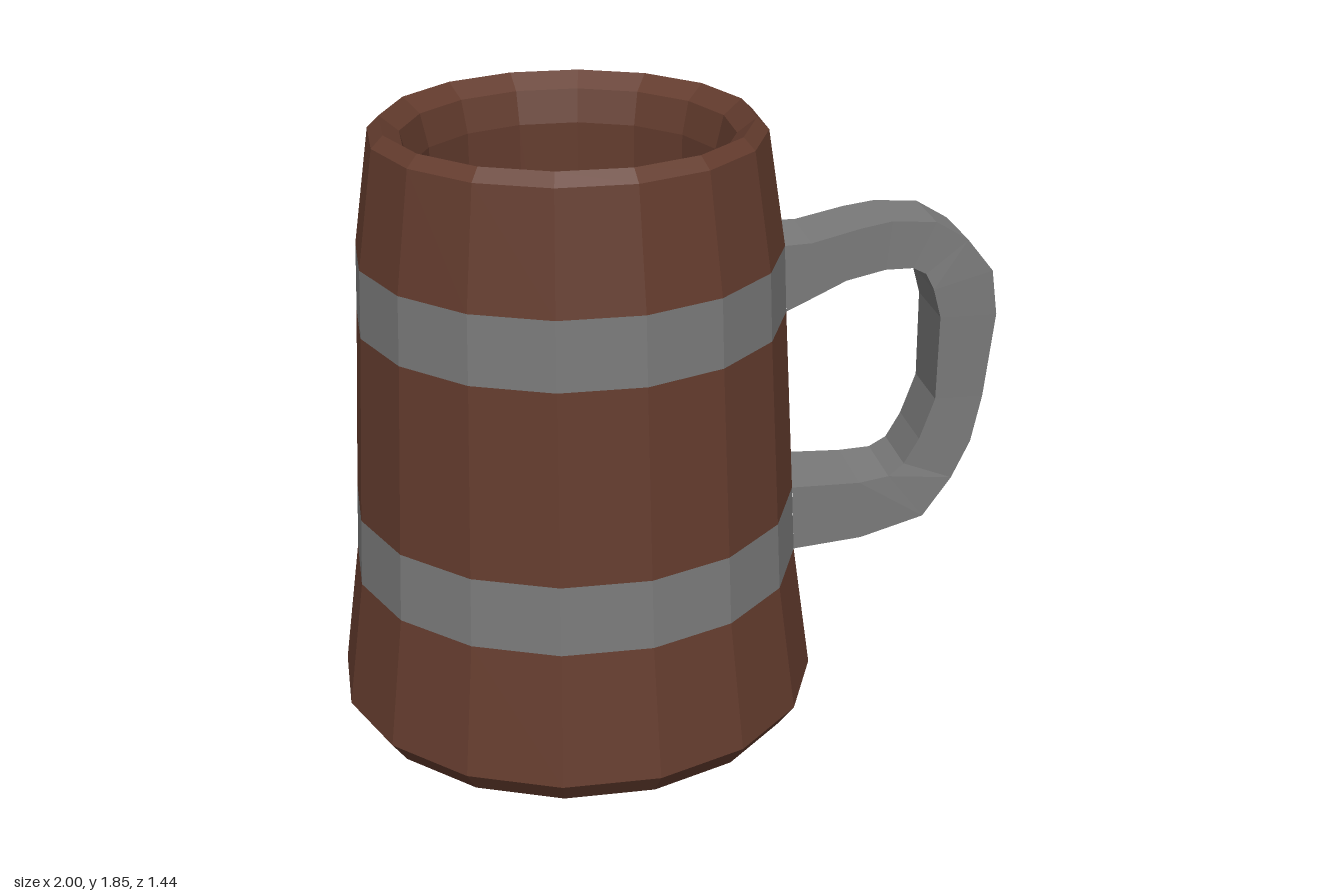
import * as THREE from 'three';

const SIDES = 16;
const CENTRE_X = -0.28;
const wood = new THREE.MeshStandardMaterial({ color: 0x643c2e, flatShading: true });
const metal = new THREE.MeshStandardMaterial({ color: 0x7a7a7a, flatShading: true });

// Sixteen-sided ring; radii are measured to the flats, which face the axes.
function ring(name, profile, material) {
  const k = 1 / Math.cos(Math.PI / SIDES);
  const points = profile.map(([r, y]) => new THREE.Vector2(r * k, y));
  const mesh = new THREE.Mesh(new THREE.LatheGeometry(points, SIDES, Math.PI / SIDES), material);
  mesh.name = name;
  mesh.position.x = CENTRE_X;
  return mesh;
}

// Rectangular sections [outer x, y, inner x, y, half width] joined into a bar.
function bar(sections) {
  const positions = [];
  const index = [];
  for (const [ox, oy, ix, iy, w] of sections) {
    positions.push(ox, oy, w, ox, oy, -w, ix, iy, -w, ix, iy, w);
  }
  for (let s = 0; s < sections.length - 1; s++) {
    for (let j = 0; j < 4; j++) {
      const a = s * 4 + j;
      const b = s * 4 + (j + 1) % 4;
      index.push(a, a + 4, b, b, a + 4, b + 4);
    }
  }
  const geometry = new THREE.BufferGeometry();
  geometry.setAttribute('position', new THREE.Float32BufferAttribute(positions, 3));
  geometry.setIndex(index);
  geometry.computeVertexNormals();
  return geometry;
}

export function createModel() {
  const group = new THREE.Group();
  group.name = 'tankard';

  // Wooden staves, with a chamfered foot and closed base
  group.add(ring('lowerStaves', [[0, 0], [0.67, 0], [0.72, 0.07], [0.665, 0.47]], wood));
  group.add(ring('middleStaves', [[0.655, 0.68], [0.625, 1.255]], wood));

  // Upper staves, rim, inner wall and floor in one profile
  group.add(ring('upperStavesAndInside', [
    [0.617, 1.46], [0.565, 1.81], [0.53, 1.845], [0.475, 1.8],
    [0.45, 1.7], [0.435, 0.2], [0, 0.2],
  ], wood));

  // Metal hoops, flush with the staves
  group.add(ring('lowerHoop', [[0.665, 0.47], [0.655, 0.68]], metal));
  group.add(ring('upperHoop', [[0.625, 1.255], [0.617, 1.46]], metal));

  // Handle, from the upper hoop round to the lower one
  const handle = new THREE.Mesh(bar([
    [0.335, 1.46, 0.345, 1.255, 0.125],
    [0.42, 1.46, 0.42, 1.285, 0.115],
    [0.57, 1.495, 0.53, 1.335, 0.11],
    [0.665, 1.51, 0.65, 1.36, 0.105],
    [0.8, 1.5, 0.735, 1.36, 0.105],
    [0.9, 1.44, 0.775, 1.34, 0.108],
    [0.98, 1.34, 0.8, 1.29, 0.113],
    [1.0, 1.2, 0.825, 1.2, 0.113],
    [0.975, 0.93, 0.825, 0.93, 0.105],
    [0.945, 0.78, 0.78, 0.8, 0.105],
    [0.89, 0.66, 0.735, 0.72, 0.105],
    [0.8, 0.54, 0.685, 0.685, 0.115],
    [0.6, 0.487, 0.59, 0.675, 0.125],
    [0.385, 0.47, 0.375, 0.68, 0.132],
  ]), metal);
  handle.name = 'handle';
  group.add(handle);

  return group;
}
